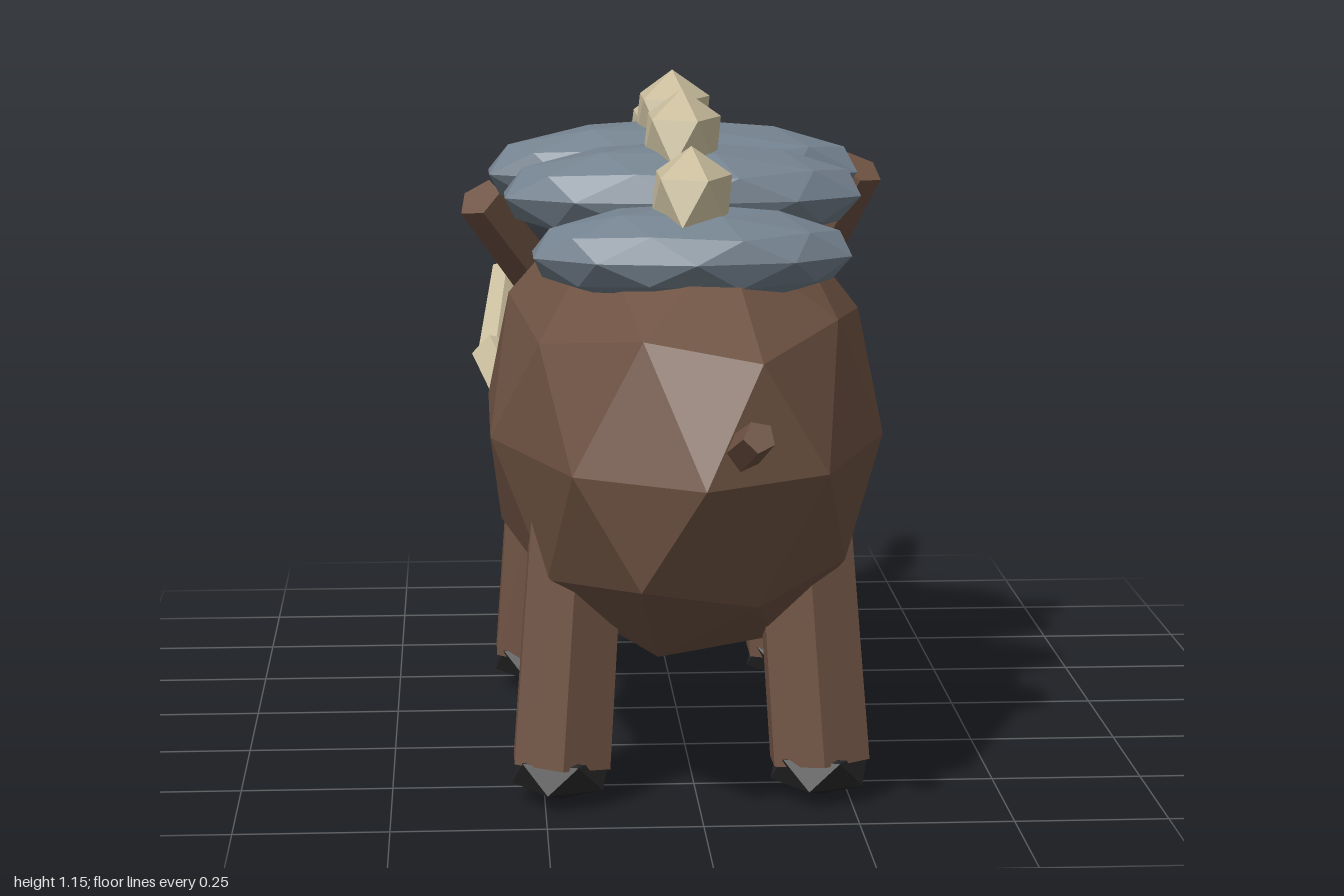
import * as THREE from 'three';

const mat = (name, color) => {
  const m = new THREE.MeshStandardMaterial({ color, flatShading: true });
  m.name = name;
  return m;
};

export function createModel() {
  const hide = mat('brown hide', 0x6f5343);
  const stone = mat('blue grey plate', 0x74828f);
  const bone = mat('pale bone', 0xc8bc9c);
  const dark = mat('black hoof', 0x242424);
  const amber = mat('amber eye', 0xcf8f22);

  const model = new THREE.Group();
  model.name = 'tuskedBoar';
  model.position.x = -0.01;

  const add = (name, geometry, material) => {
    const mesh = new THREE.Mesh(geometry, material);
    mesh.name = name;
    model.add(mesh);
    return mesh;
  };

  // Faceted ellipsoid with a vertex at its top and bottom poles
  const blob = (name, material, detail, radii, position) => {
    const g = new THREE.IcosahedronGeometry(1, detail);
    g.rotateZ(-Math.atan(2 / (1 + Math.sqrt(5))));
    g.scale(...radii);
    add(name, g, material).position.set(...position);
  };

  // Faceted prism running from point a to point b
  const rod = (name, material, sides, r0, r1, a, b) => {
    const from = new THREE.Vector3(...a);
    const dir = new THREE.Vector3(...b).sub(from);
    const g = new THREE.CylinderGeometry(r1, r0, dir.length(), sides);
    const mesh = add(name, g, material);
    mesh.position.copy(from).addScaledVector(dir, 0.5);
    mesh.quaternion.setFromUnitVectors(new THREE.Vector3(0, 1, 0), dir.normalize());
  };

  // Body, head, snout and nose
  blob('body', hide, 1, [0.34, 0.4, 0.7], [0, 0.585, 0.26]);
  blob('head', hide, 1, [0.3, 0.32, 0.32], [0, 0.585, -0.335]);
  blob('snout', hide, 1, [0.2, 0.17, 0.28], [0, 0.42, -0.65]);
  blob('nose', dark, 1, [0.12, 0.085, 0.06], [0, 0.415, -0.87]);

  // Back plates, each crowned by a knob: z, plate y, half width, half height, knob y
  const plates = [
    [0.58, 0.9, 0.267, 0.08, 0.99],
    [0.325, 0.967, 0.311, 0.088, 1.06],
    [0.05, 0.977, 0.336, 0.09, 1.07],
    [-0.19, 0.91, 0.315, 0.088, 1.02],
  ];
  for (const [z, y, rx, ry, knobY] of plates) {
    blob('backPlate', stone, 1, [rx, ry, 0.153], [0, y, z]);
    blob('backKnob', bone, 0, [0.073, 0.083, 0.12], [0, knobY, z]);
  }

  for (const s of [-1, 1]) {
    const side = s > 0 ? 'PlusX' : 'MinusX';

    // Slightly splayed legs with hooves
    for (const [leg, x, z, topZ, topY] of [['front', 0.233, -0.19, -0.168, 0.535], ['rear', 0.212, 0.577, 0.545, 0.5]]) {
      rod(`${leg}Leg${side}`, hide, 6, 0.09, 0.086, [s * x, 0.063, z], [s * (x - 0.03), topY, topZ]);
      blob(`${leg}Hoof${side}`, dark, 0, [0.09, 0.052, 0.103], [s * x, 0.052, z]);
    }

    // Two-part tusks
    rod(`tuskBase${side}`, bone, 5, 0.045, 0.045, [s * 0.212, 0.355, -0.575], [s * 0.308, 0.52, -0.84]);
    rod(`tuskTip${side}`, bone, 5, 0.036, 0.03, [s * 0.308, 0.495, -0.82], [s * 0.278, 0.668, -0.975]);

    blob(`eye${side}`, amber, 0, [0.036, 0.036, 0.036], [s * 0.238, 0.627, -0.508]);
  }

  // Ears, set unevenly
  rod('earPlusX', hide, 5, 0.05, 0.043, [0.23, 0.72, -0.225], [0.345, 0.965, -0.09]);
  rod('earMinusX', hide, 5, 0.05, 0.043, [-0.2, 0.72, -0.225], [-0.335, 0.915, -0.085]);

  // Short tail bent to one side
  rod('tail', hide, 5, 0.034, 0.026, [0.045, 0.61, 0.85], [0.077, 0.675, 0.988]);

  const root = new THREE.Group();
  root.name = 'boar';
  root.add(model);
  return root;
}
